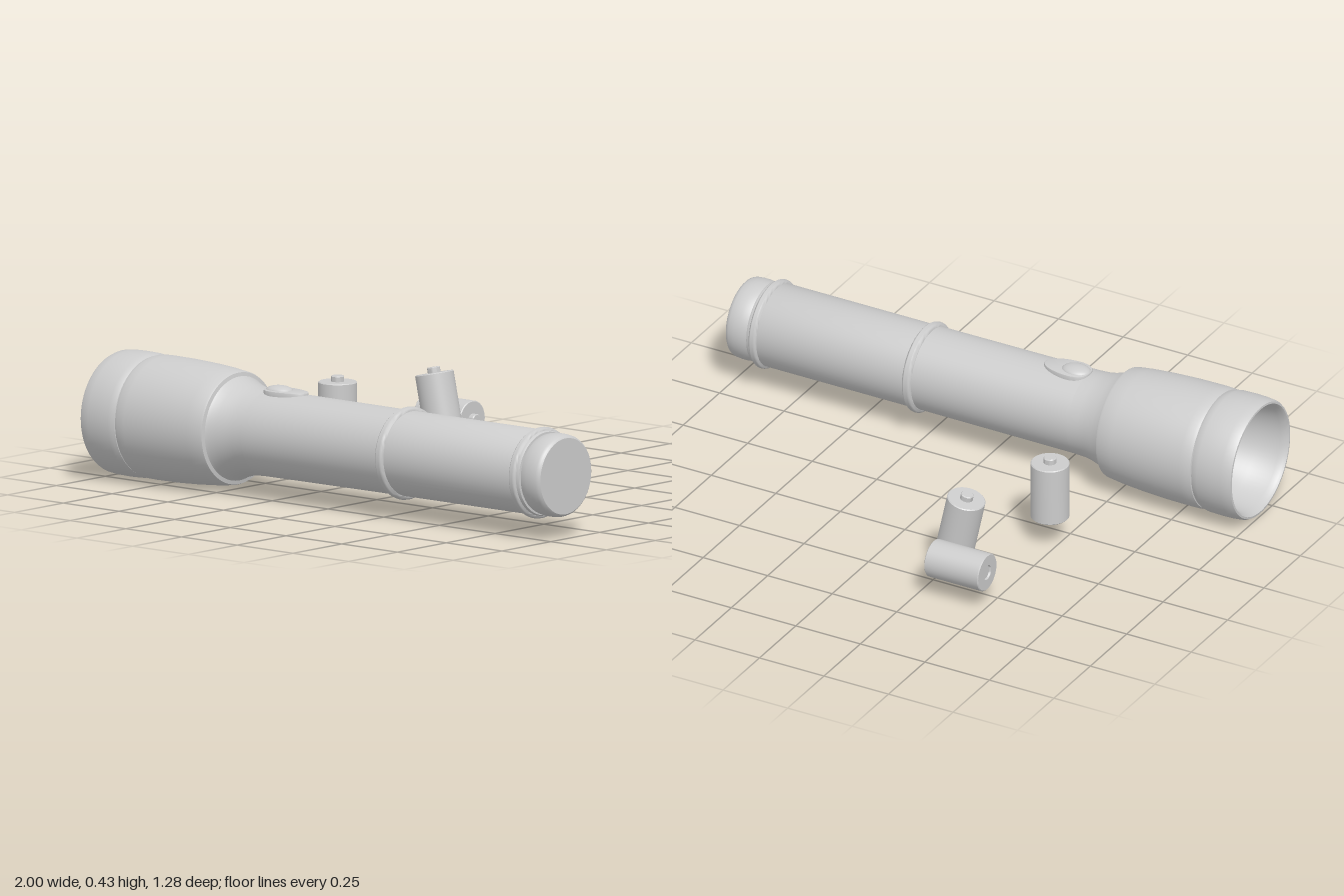
import * as THREE from 'three';
import { toCreasedNormals } from 'three/addons/utils/BufferGeometryUtils.js';

const material = new THREE.MeshStandardMaterial({ color: 0xcccccc, side: THREE.DoubleSide });

function part(name, geometry, crease = 0.6) {
  const mesh = new THREE.Mesh(toCreasedNormals(geometry, crease), material);
  mesh.name = name;
  return mesh;
}

// Profile points are [radius, position along the axis]
function turned(name, points, segments = 64) {
  return part(name, new THREE.LatheGeometry(points.map(([r, a]) => new THREE.Vector2(r, a)), segments));
}

function createTorch() {
  const torch = new THREE.Group();
  torch.name = 'flashlight';

  // Everything turned is made upright, then laid along x
  const barrel = new THREE.Group();
  barrel.name = 'barrel';
  barrel.rotation.z = -Math.PI / 2;

  // Hollow reflector bowl flowing into the bezel ring
  barrel.add(turned('reflectorAndBezel', [
    [0, -0.76], [0.05, -0.765], [0.1, -0.79], [0.14, -0.83], [0.17, -0.89], [0.187, -0.97], [0.191, -0.99],
    [0.198, -0.999], [0.205, -0.998], [0.21, -0.988], [0.213, -0.96], [0.214, -0.92], [0.213, -0.87],
    [0.21, -0.855], [0.206, -0.846], [0.2, -0.844],
  ]));

  // Flared head, with a step down to the neck
  barrel.add(turned('head', [
    [0.2, -0.844], [0.207, -0.842], [0.211, -0.83], [0.212, -0.8], [0.211, -0.7], [0.207, -0.61],
    [0.201, -0.53], [0.194, -0.475], [0.191, -0.468], [0.178, -0.465], [0.172, -0.455], [0.163, -0.43],
    [0.154, -0.4], [0.149, -0.37], [0.147, -0.33],
  ]));

  barrel.add(turned('body', [
    [0.147, -0.33], [0.146, -0.1], [0.145, 0.3], [0.145, 0.907], [0.142, 0.914], [0.13, 0.915],
  ]));

  // Raised grip rings
  for (const [name, at, radius, width] of [['middleRing', 0.291, 0.159, 0.018], ['rearRing', 0.888, 0.156, 0.016]]) {
    const ring = part(name, new THREE.TorusGeometry(radius - width, width, 16, 64), 1);
    ring.rotation.x = Math.PI / 2;
    ring.position.y = at;
    barrel.add(ring);
  }

  barrel.add(turned('tailCap', [
    [0.13, 0.915], [0.136, 0.917], [0.139, 0.926], [0.142, 0.945], [0.142, 0.965], [0.14, 0.985],
    [0.136, 0.995], [0.13, 1], [0, 1],
  ]));
  torch.add(barrel);

  // Teardrop switch plate, tapering towards the tail
  const drop = new THREE.Shape();
  drop.moveTo(-0.335, 0);
  drop.bezierCurveTo(-0.335, 0.035, -0.31, 0.05, -0.275, 0.05);
  drop.bezierCurveTo(-0.23, 0.05, -0.167, 0.033, -0.167, 0);
  drop.bezierCurveTo(-0.167, -0.033, -0.23, -0.05, -0.275, -0.05);
  drop.bezierCurveTo(-0.31, -0.05, -0.335, -0.035, -0.335, 0);
  const plate = part('switchPlate', new THREE.ExtrudeGeometry(drop, {
    depth: 0.04, curveSegments: 12, bevelThickness: 0.003, bevelSize: 0.003, bevelSegments: 2,
  }));
  plate.rotation.x = -Math.PI / 2;
  plate.position.y = 0.111;
  torch.add(plate);

  // Domed push button
  const button = part('switchButton', new THREE.SphereGeometry(1, 32, 16), 1);
  button.scale.set(0.052, 0.018, 0.04);
  button.position.set(-0.285, 0.15, 0);
  torch.add(button);

  torch.position.set(0, 0.22, 0.423);
  return torch;
}

// Cell with a dimpled base and a raised contact
function createBattery(name, x, y, z, tilt) {
  const h = 0.1045;
  const battery = turned(name, [
    [0, -h + 0.007], [0.024, -h + 0.007], [0.026, -h], [0.063, -h], [0.066, -h + 0.003],
    [0.066, h - 0.003], [0.063, h], [0.022, h], [0.022, h + 0.017], [0.019, h + 0.02], [0, h + 0.02],
  ], 40);
  battery.position.set(x, y, z);
  battery.rotation.z = tilt;
  return battery;
}

export function createModel() {
  const model = new THREE.Group();
  model.name = 'flashlightWithBatteries';
  model.add(
    createTorch(),
    createBattery('standingBattery', -0.468, 0.212, -0.083, 0),
    createBattery('leaningBattery', -0.32, 0.213, -0.434, 0.215),
    createBattery('lyingBattery', -0.397, 0.141, -0.573, -Math.PI / 2),
  );
  return model;
}
